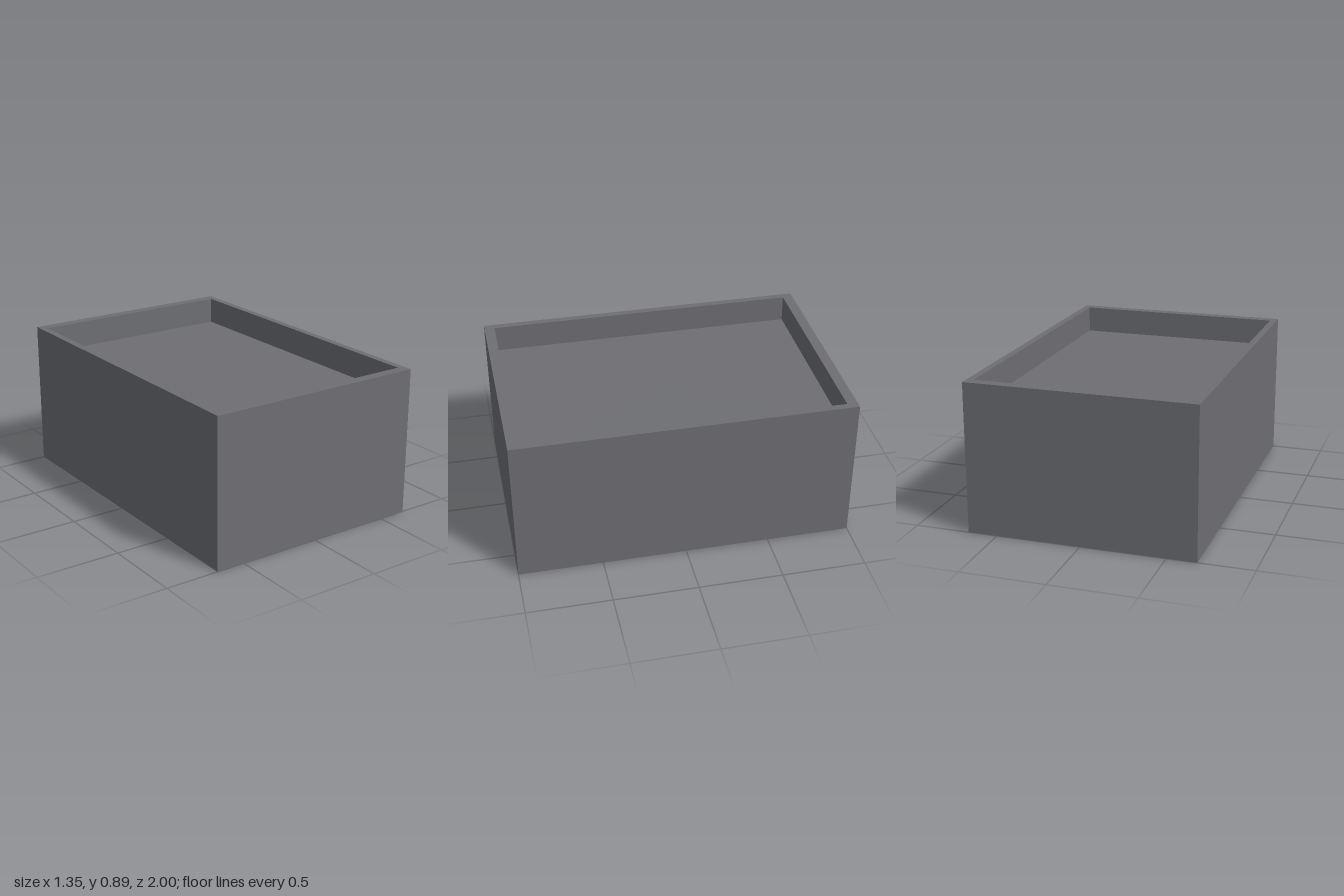
import * as THREE from 'three';

const HALF_WIDTH = 0.675, HALF_DEPTH = 1, HEIGHT = 0.893;
const RIM = 0.938;   // recess size relative to the outer size
const FLOOR = 0.73;  // height of the recess floor

export function createModel() {
  const group = new THREE.Group();
  group.name = 'openBox';

  // Profile: underside, outer wall, rim, inner wall, recess floor
  const profile = [
    [0, 0], [1, 0], [1, HEIGHT], [RIM, HEIGHT], [RIM, FLOOR], [0, FLOOR],
  ].map(([r, y]) => new THREE.Vector2(r * Math.SQRT2, y));

  // Four-sided lathe, turned square to the axes with a rectangular plan
  const geometry = new THREE.LatheGeometry(profile, 4)
    .rotateY(Math.PI / 4)
    .scale(HALF_WIDTH, 1, HALF_DEPTH)
    .toNonIndexed();
  geometry.computeVertexNormals();

  const material = new THREE.MeshStandardMaterial({ color: 0x6d6e73, flatShading: true });
  const box = new THREE.Mesh(geometry, material);
  box.name = 'recessedBox';
  group.add(box);
  return group;
}
